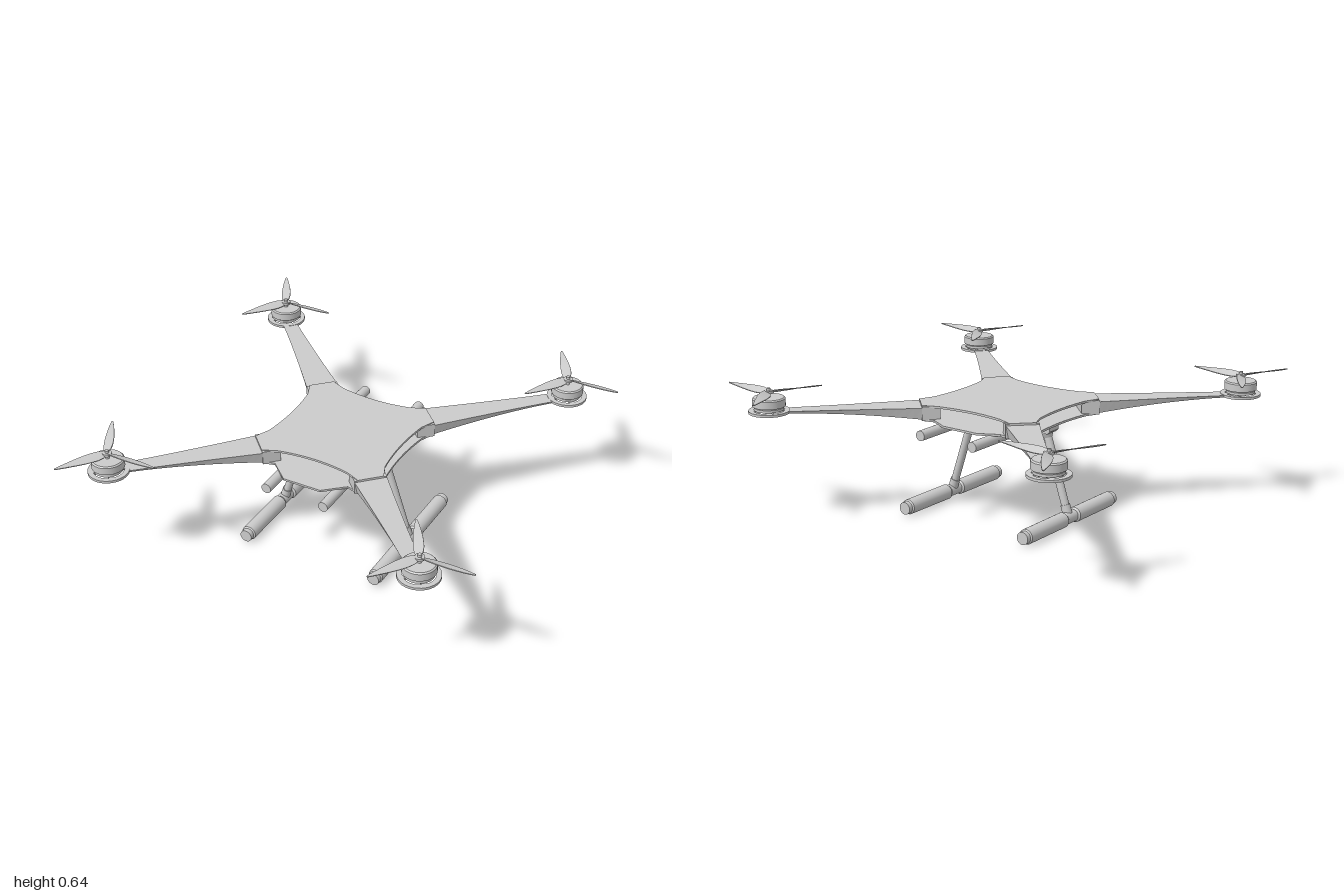
import * as THREE from 'three';

const mat = new THREE.MeshStandardMaterial({ color: 0xcccccc, side: THREE.DoubleSide });
const R = 1.106; // motor distance from the frame centre

function add(parent, name, geo, x = 0, y = 0, z = 0) {
  const m = new THREE.Mesh(geo, mat);
  m.name = name;
  m.position.set(x, y, z);
  parent.add(m);
  return m;
}

// Flat plate from an outline in x/z, with its top at y = 0
function plateGeo(shape, depth) {
  return new THREE.ExtrudeGeometry(shape, { depth, bevelEnabled: false, curveSegments: 16 }).rotateX(Math.PI / 2);
}

function tubeZ(r, len) {
  return new THREE.CylinderGeometry(r, r, len, 24).rotateX(Math.PI / 2);
}

// Four-cornered plate with concave sides; front and rear lips are optional
function plateShape(front, rear) {
  const s = new THREE.Shape();
  const lip = (z, dir) => {
    const e = Math.sign(z);
    s.lineTo(dir * 0.19, e * 0.32);
    s.lineTo(dir * 0.095, z);
    s.lineTo(-dir * 0.095, z);
    s.lineTo(-dir * 0.19, e * 0.32);
  };
  const hollow = (e) => {
    s.lineTo(e * 0.18, e * 0.305);
    s.quadraticCurveTo(0, e * 0.265, -e * 0.18, e * 0.305);
  };
  s.moveTo(0.335, 0.25);
  s.lineTo(0.25, 0.335);
  if (front) lip(front, 1); else hollow(1);
  s.lineTo(-0.25, 0.335);
  s.lineTo(-0.335, 0.25);
  s.lineTo(-0.305, 0.18);
  s.quadraticCurveTo(-0.275, 0, -0.305, -0.18);
  s.lineTo(-0.335, -0.25);
  s.lineTo(-0.25, -0.335);
  if (rear) lip(-rear, -1); else hollow(-1);
  s.lineTo(0.25, -0.335);
  s.lineTo(0.335, -0.25);
  s.lineTo(0.305, -0.18);
  s.quadraticCurveTo(0.275, 0, 0.305, 0.18);
  return s;
}

// Tapering arm along +x: narrows outward while its underside sweeps up
function armGeo() {
  const r0 = 0.41, r1 = R - 0.07;
  const g = new THREE.BoxGeometry(1, 1, 1, 16, 1, 1).toNonIndexed();
  const p = g.attributes.position;
  for (let i = 0; i < p.count; i++) {
    const t = p.getX(i) + 0.5;
    const half = 0.036 + 0.04 * Math.pow(1 - t, 1.3);
    const top = 0.537 - 0.003 * t;
    const bottom = 0.523 - 0.043 * Math.pow(1 - t, 1.8);
    const under = p.getY(i) < 0;
    p.setXYZ(i, r0 + (r1 - r0) * t, under ? bottom : top, Math.sign(p.getZ(i)) * half * (under ? 0.85 : 1));
  }
  g.computeVertexNormals();
  return g;
}

// Twisted blade along +x, widest near a third of its length
function bladeGeo() {
  const g = new THREE.BoxGeometry(1, 1, 1, 18, 1, 4);
  const p = g.attributes.position;
  for (let i = 0; i < p.count; i++) {
    const t = p.getX(i) + 0.5;
    const w = 0.014 + 0.036 * Math.pow(Math.sin(Math.PI * Math.pow(t, 0.6)), 0.8) - 0.008 * t;
    const z = p.getZ(i) * w;
    const y = p.getY(i) * 0.004;
    const a = 0.42 * (1 - t) + 0.08;
    p.setXYZ(i, 0.008 + 0.245 * t, y * Math.cos(a) + z * Math.sin(a) + 0.004 * t, z * Math.cos(a) - y * Math.sin(a));
  }
  g.computeVertexNormals();
  return g;
}

function lathe(points) {
  return new THREE.LatheGeometry(points.map(([x, y]) => new THREE.Vector2(x, y)), 32);
}

function motor() {
  const g = new THREE.Group();
  g.name = 'motor';
  // Open mounting ring with spokes
  const ring = new THREE.Shape().absarc(0, 0, 0.095, 0, Math.PI * 2);
  ring.holes.push(new THREE.Path().absarc(0, 0, 0.072, 0, Math.PI * 2, true));
  add(g, 'mountRing', plateGeo(ring, 0.012), 0, 0.536);
  for (let i = 0; i < 2; i++) {
    add(g, 'mountSpoke', new THREE.BoxGeometry(0.16, 0.01, 0.024), 0, 0.53).rotation.y = Math.PI / 4 + i * Math.PI / 2;
  }
  add(g, 'mountHub', new THREE.CylinderGeometry(0.03, 0.03, 0.014, 24), 0, 0.532);
  // Stator base and bell
  add(g, 'motorBase', new THREE.CylinderGeometry(0.068, 0.068, 0.012, 32), 0, 0.544);
  add(g, 'motorCore', new THREE.CylinderGeometry(0.055, 0.055, 0.012, 32), 0, 0.553);
  const bell = lathe([[0, 0.556], [0.076, 0.556], [0.076, 0.556], [0.076, 0.591], [0.076, 0.591],
    [0.07, 0.597], [0.07, 0.597], [0, 0.597]]);
  add(g, 'motorBell', bell);
  add(g, 'shaft', new THREE.CylinderGeometry(0.009, 0.009, 0.05, 16), 0, 0.614);
  add(g, 'propellerHub', new THREE.CylinderGeometry(0.022, 0.022, 0.012, 24), 0, 0.621);
  for (let i = 0; i < 3; i++) {
    add(g, 'propellerBlade', bladeGeo(), 0, 0.622).rotation.y = i * Math.PI * 2 / 3;
  }
  return g;
}

// Rail, clamp, slanted leg and skid for one side (s = +1 or -1)
function landingGear(s) {
  const g = new THREE.Group();
  g.name = s > 0 ? 'leftLandingGear' : 'rightLandingGear';
  add(g, 'rail', tubeZ(0.024, 0.945), s * 0.147, 0.452);
  const c = new THREE.Shape();
  [[0.11, 0.473], [0.255, 0.473], [0.255, 0.438], [0.242, 0.425], [0.122, 0.425], [0.11, 0.438]]
    .forEach(([x, y], i) => (i ? c.lineTo(s * x, y) : c.moveTo(s * x, y)));
  add(g, 'railClamp', new THREE.ExtrudeGeometry(c, { depth: 0.07, bevelEnabled: false }), 0, 0, -0.035);
  const top = new THREE.Vector3(s * 0.212, 0.435, 0);
  const foot = new THREE.Vector3(s * 0.342, 0.036, 0);
  const dir = top.clone().sub(foot);
  const turn = new THREE.Quaternion().setFromUnitVectors(new THREE.Vector3(0, 1, 0), dir.clone().normalize());
  const along = (name, r0, r1, len, t) => {
    const p = foot.clone().addScaledVector(dir, t);
    add(g, name, new THREE.CylinderGeometry(r1, r0, len, 24), p.x, p.y, p.z).quaternion.copy(turn);
  };
  along('leg', 0.019, 0.019, dir.length(), 0.5);
  along('legSocket', 0.02, 0.034, 0.03, 0.95);
  along('skidJoint', 0.023, 0.023, 0.06, 0.075);
  add(g, 'skidTube', tubeZ(0.026, 0.7), foot.x, foot.y);
  add(g, 'skidSleeve', tubeZ(0.029, 0.075), foot.x, foot.y);
  for (const e of [-1, 1]) {
    const grip = lathe([[0.026, -0.148], [0.03, -0.148], [0.036, -0.142], [0.036, -0.142], [0.036, 0.142],
      [0.036, 0.142], [0.03, 0.148], [0.026, 0.148]]).rotateX(Math.PI / 2);
    add(g, 'skidGrip', grip, foot.x, foot.y, e * 0.19);
    add(g, 'skidCap', tubeZ(0.03, 0.022), foot.x, foot.y, e * 0.349);
  }
  return g;
}

export function createModel() {
  const model = new THREE.Group();
  model.name = 'quadcopter';
  model.position.x = -0.06;

  add(model, 'topPlate', plateGeo(plateShape(0, 0), 0.01), 0, 0.547);
  add(model, 'bottomPlate', plateGeo(plateShape(0.405, 0.37), 0.01), 0, 0.483);

  // Arms with clamp blocks between the plates
  for (let i = 0; i < 4; i++) {
    const a = Math.PI / 4 + i * Math.PI / 2;
    const arm = new THREE.Group();
    arm.name = 'armAssembly';
    arm.rotation.y = a;
    add(arm, 'arm', armGeo());
    add(arm, 'armClamp', new THREE.BoxGeometry(0.085, 0.066, 0.152), 0.371, 0.51);
    model.add(arm);
    const m = motor();
    m.position.set(R * Math.cos(a), 0, -R * Math.sin(a));
    model.add(m);
  }

  for (const s of [-1, 1]) model.add(landingGear(s));

  const root = new THREE.Group();
  root.name = 'model';
  root.add(model);
  return root;
}
